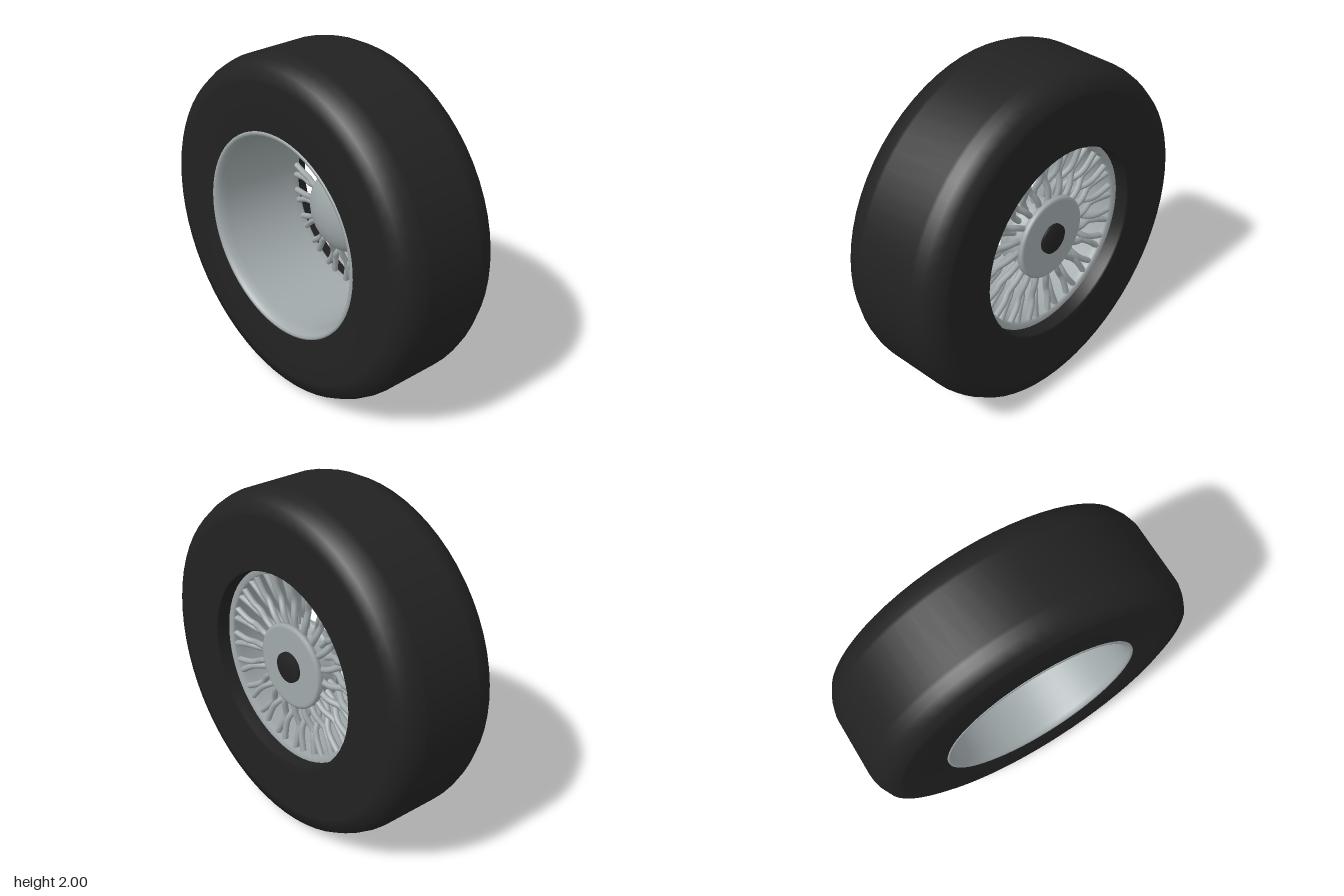
import * as THREE from 'three';

export function createModel() {
  const rubber = new THREE.MeshStandardMaterial({ color: 0x222222 });
  rubber.name = 'black rubber';
  const metal = new THREE.MeshStandardMaterial({ color: 0xa0a8aa, side: THREE.DoubleSide });
  metal.name = 'silver metal';

  const wheel = new THREE.Group();
  wheel.name = 'wheel';
  wheel.position.y = 1;

  // Turned part around the z axis from [radius, z] pairs
  function turned(name, profile, material, segments = 64) {
    const geo = new THREE.LatheGeometry(profile.map(([r, z]) => new THREE.Vector2(r, z)), segments);
    geo.rotateX(Math.PI / 2);
    const mesh = new THREE.Mesh(geo, material);
    mesh.name = name;
    wheel.add(mesh);
    return mesh;
  }

  // Tyre: closed section with rounded shoulders
  turned('tyre', [
    [0.565, -0.24], [0.565, -0.325], [0.575, -0.335], [0.87, -0.335], [0.89, -0.333],
    [0.955, -0.31], [0.985, -0.25], [0.998, -0.2], [1, -0.18],
    [1, 0.18], [0.998, 0.2], [0.985, 0.25], [0.955, 0.31], [0.89, 0.333],
    [0.87, 0.335], [0.59, 0.335], [0.585, 0.3], [0.565, -0.24],
  ], rubber);

  // Deep rim barrel with a rolled front lip and a rear flange
  turned('rimBarrel', [
    [0.568, -0.25], [0.535, -0.25], [0.525, -0.235], [0.53, -0.2], [0.548, 0.1],
    [0.555, 0.27], [0.562, 0.31], [0.575, 0.335], [0.588, 0.341], [0.598, 0.338], [0.6, 0.33],
  ], metal);

  // Hub: shallow front dome, side wall and stepped back plate
  const dome = [];
  for (let i = 0; i <= 10; i++) {
    const a = (i / 10) * Math.PI / 2;
    dome.push([0.242 * Math.cos(a), -0.13 + 0.13 * Math.sin(a)]);
  }
  turned('hubDome', dome, metal);
  turned('hubBarrel', [[0.225, -0.24], [0.225, -0.15], [0.242, -0.13]], metal);
  turned('hubRing', [[0.225, -0.225], [0.247, -0.225], [0.247, -0.25], [0.235, -0.257], [0.225, -0.257]], metal);
  turned('hubBackPlate', [[0, -0.255], [0.235, -0.255]], metal);

  // Dark axle bore cover on the back
  turned('axleCap', [[0, -0.275], [0.088, -0.275], [0.088, -0.25]], rubber, 32);

  // Wire spokes: kinked pairs that pinch together before the rim
  const spokes = new THREE.Group();
  spokes.name = 'spokes';
  wheel.add(spokes);
  const deg = Math.PI / 180;
  const at = (r, angle, z) => new THREE.Vector3(r * Math.cos(angle), r * Math.sin(angle), z);
  for (const side of [-1, 1]) {
    const hubZ = side > 0 ? -0.215 : -0.16;
    const s = side * deg;
    const path = new THREE.CatmullRomCurve3([
      at(0.21, 6.5 * s, hubZ),
      at(0.30, 5 * s, hubZ - 0.005),
      at(0.385, 2.1 * s, -0.205),
      at(0.43, 1.8 * s, -0.215),
      at(0.545, 3.8 * s, -0.228),
    ], false, 'centripetal');
    const geo = new THREE.TubeGeometry(path, 14, 0.018, 8, false);
    for (let i = 0; i < 20; i++) {
      const spoke = new THREE.Mesh(geo, metal);
      spoke.name = 'spoke';
      spoke.rotation.z = (i * 18 - 4.5) * deg;
      spokes.add(spoke);
    }
  }

  const model = new THREE.Group();
  model.name = 'wireWheel';
  model.add(wheel);
  return model;
}
